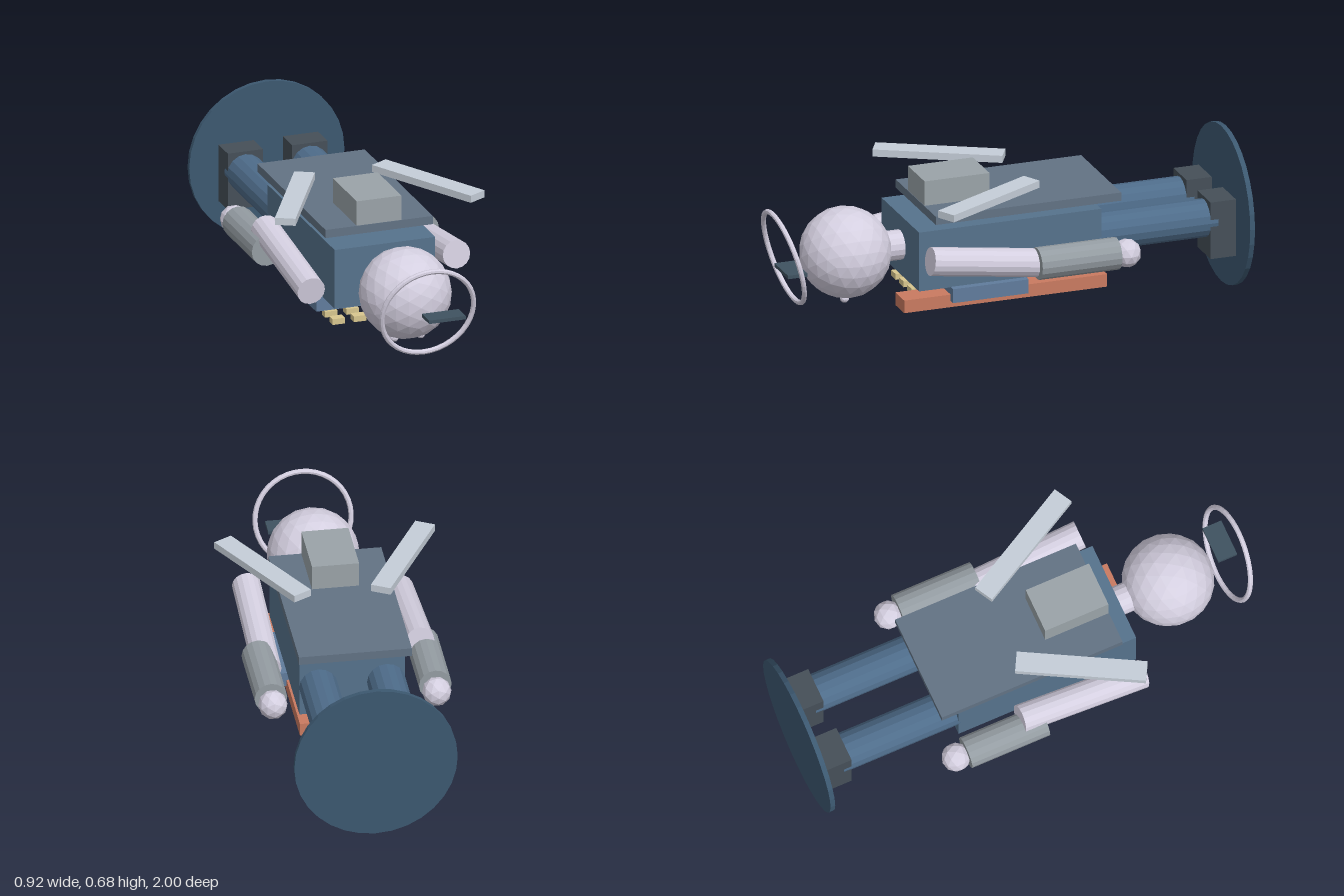
import * as THREE from 'three';

const mat = (color) => new THREE.MeshStandardMaterial({ color, flatShading: true });
const M = {
  skin: mat(0xd4cfe0), suit: mat(0x56728c), leg: mat(0x4e6c8a), base: mat(0x3c5870),
  cape: mat(0x627284), plate: mat(0x607c9c), pack: mat(0x9aa3a8), wing: mat(0xc5ced8),
  sleeve: mat(0x949ca2), boot: mat(0x454f58), red: mat(0xc97a60), tan: mat(0xd8c68e),
  visor: mat(0x3f5260),
};

export function createModel() {
  const model = new THREE.Group();
  const add = (name, geometry, material, x, y, z) => {
    const mesh = new THREE.Mesh(geometry, material);
    mesh.name = name;
    mesh.position.set(x, y, z);
    model.add(mesh);
    return mesh;
  };
  // Box from its minimum and maximum along each axis
  const box = (name, material, [x0, x1], [y0, y1], [z0, z1]) =>
    add(name, new THREE.BoxGeometry(x1 - x0, y1 - y0, z1 - z0), material,
      (x0 + x1) / 2, (y0 + y1) / 2, (z0 + z1) / 2);
  // Cylinder lying along z
  const rod = (name, material, r, x, y, z0, z1, sides = 16) =>
    add(name, new THREE.CylinderGeometry(r, r, z1 - z0, sides).rotateX(Math.PI / 2),
      material, x, y, (z0 + z1) / 2);

  // Round base behind the feet
  rod('base', M.base, 0.34, 0, 0.342, -1, -0.979, 32);

  // Body
  box('torso', M.suit, [-0.22, 0.22], [0.217, 0.475], [-0.37, 0.43]);
  box('chestPlate', M.plate, [-0.25, 0.25], [0.158, 0.219], [-0.04, 0.292]);
  box('backPlate', M.cape, [-0.235, 0.235], [0.505, 0.541], [-0.452, 0.362]);
  box('backpack', M.pack, [-0.098, 0.098], [0.541, 0.648], [0.075, 0.36]);
  box('sash', M.red, [0.117, 0.222], [0.131, 0.186], [-0.395, 0.496]);

  // Two rows of chest pouches
  for (const z of [0.28, 0.37])
    for (let i = 0; i < 4; i++) {
      const x = -0.187 + i * 0.0933;
      box('pouch', M.tan, [x - 0.027, x + 0.027], [0.13, 0.155], [z - 0.02, z + 0.02]);
    }

  // Head, neck and face
  rod('neck', M.skin, 0.063, 0, 0.347, 0.4, 0.54);
  add('head', new THREE.IcosahedronGeometry(0.192, 3), M.skin, 0, 0.346, 0.672);
  box('visor', M.visor, [-0.008, 0.152], [0.319, 0.334], [0.895, 0.98]);
  const ring = add('halo', new THREE.TorusGeometry(0.2, 0.011, 8, 40), M.skin, 0, 0.358, 0.941);
  ring.rotation.x = 0.25;

  // Mirrored parts
  for (const s of [-1, 1]) {
    const side = s > 0 ? 'left' : 'right';
    add(side + 'Eye', new THREE.IcosahedronGeometry(0.019, 1), M.skin, s * 0.058, 0.166, 0.697);
    rod(side + 'Leg', M.leg, 0.08, s * 0.141, 0.346, -0.885, -0.36);
    box(side + 'Boot', M.boot, [s * 0.141 - 0.077, s * 0.141 + 0.077], [0.19, 0.438], [-0.962, -0.851]);

    // Arms swing in opposite directions
    const arm = rod(side + 'UpperArm', M.skin, 0.06, s * 0.318, 0.342, -0.14, 0.42);
    arm.rotation.x = -s * 0.14;
    rod(side + 'Forearm', M.sleeve, 0.068, s * 0.342, 0.32, -0.392, -0.042);
    add(side + 'Hand', new THREE.IcosahedronGeometry(0.061, 1), M.skin, s * 0.341, 0.315, -0.436);

    const wing = add(side + 'Wing', new THREE.BoxGeometry(0.086, 0.031, 0.54), M.wing, s * 0.292, 0.611, 0.151);
    wing.rotation.y = s * 0.5;
  }
  return model;
}
